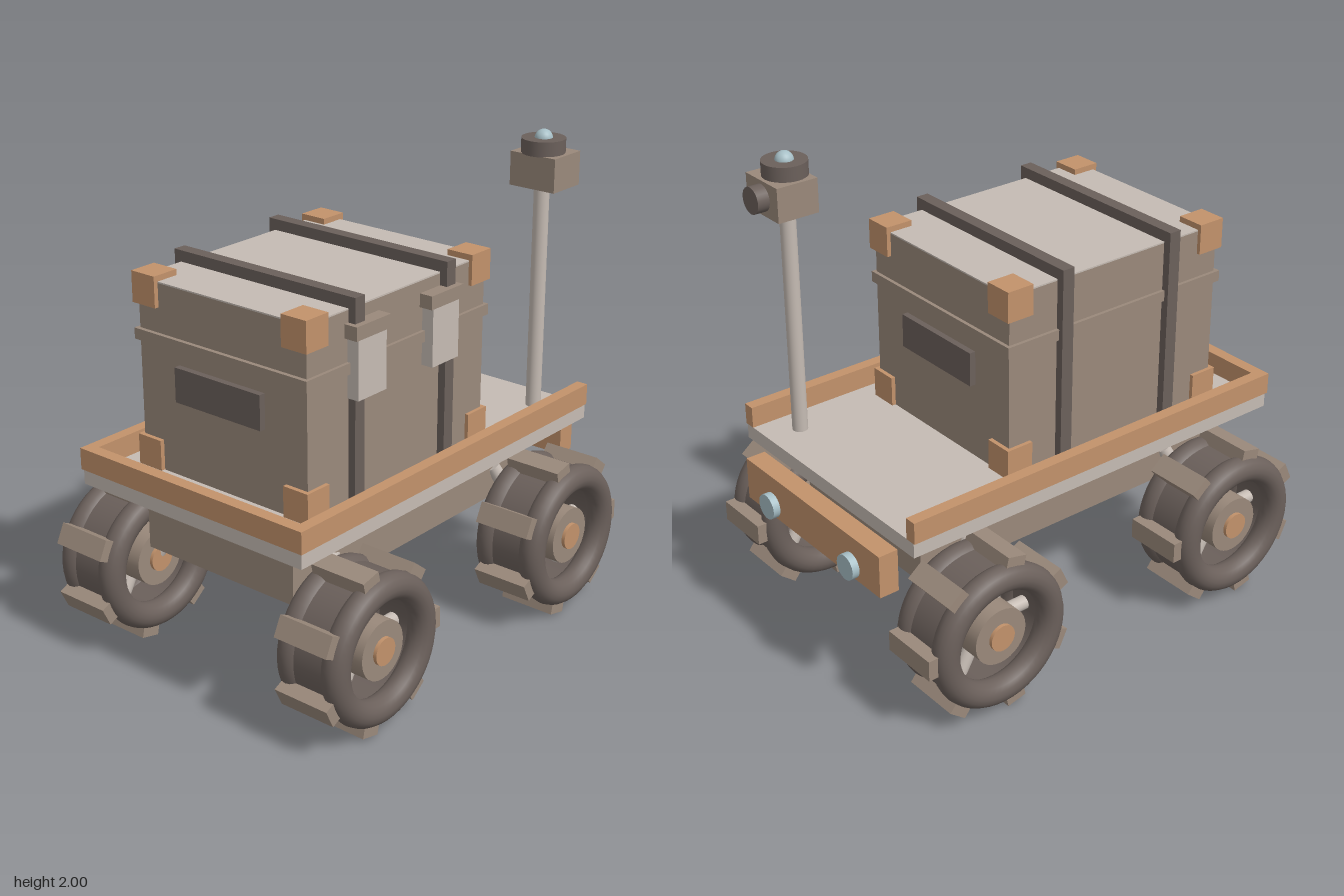
import * as THREE from 'three';

const mat = (name, color) => {
  const m = new THREE.MeshStandardMaterial({ color });
  m.name = name;
  return m;
};

export function createModel() {
  const brown = mat('brown', 0x9a897b), dark = mat('dark brown', 0x6b605b);
  const light = mat('pale grey', 0xc5bbb3), orange = mat('orange', 0xc2926b);
  const blue = mat('pale blue', 0xa7bfc6);
  const tyreMat = mat('tyre', 0x6b605b);
  tyreMat.side = THREE.DoubleSide;

  const model = new THREE.Group();
  model.name = 'cargoRover';

  const add = (parent, name, geo, m, x = 0, y = 0, z = 0) => {
    const mesh = new THREE.Mesh(geo, m);
    mesh.name = name;
    mesh.position.set(x, y, z);
    parent.add(mesh);
    return mesh;
  };
  // Box given by its limits on each axis
  const box = (parent, name, m, x0, x1, y0, y1, z0, z1) =>
    add(parent, name, new THREE.BoxGeometry(x1 - x0, y1 - y0, z1 - z0), m,
      (x0 + x1) / 2, (y0 + y1) / 2, (z0 + z1) / 2);
  // Cylinder between two points
  const rod = (parent, name, m, a, b, r, seg = 28) => {
    const p = new THREE.Vector3(...a), q = new THREE.Vector3(...b);
    const d = q.clone().sub(p);
    const mesh = add(parent, name, new THREE.CylinderGeometry(r, r, d.length(), seg), m);
    mesh.position.copy(p).add(q).multiplyScalar(0.5);
    mesh.quaternion.setFromUnitVectors(new THREE.Vector3(0, 1, 0), d.normalize());
    return mesh;
  };

  // Chassis, deck and rails
  box(model, 'chassis', brown, -0.79, 0.705, 0.47, 0.73, -0.38, 0.38);
  box(model, 'deck', light, -0.95, 0.867, 0.747, 0.81, -0.565, 0.565);
  for (const s of [-1, 1]) {
    add(model, 'sideRail', new THREE.BoxGeometry(1.825, 0.09, 0.05), orange, -0.0445, 0.855, s * 0.547);
  }
  box(model, 'rearRail', orange, -0.957, -0.905, 0.81, 0.9, -0.522, 0.522);

  // Bumper with headlights
  box(model, 'bumper', orange, 0.862, 0.947, 0.546, 0.727, -0.455, 0.455);
  for (const z of [-0.272, 0.272]) rod(model, 'headlight', blue, [0.93, 0.6, z], [0.978, 0.6, z], 0.053);

  // Cargo chest
  const chest = new THREE.Group();
  chest.name = 'chest';
  model.add(chest);
  box(chest, 'chestBody', brown, -0.75, 0.307, 0.81, 1.576, -0.422, 0.422);
  box(chest, 'lidTop', light, -0.75, 0.307, 1.576, 1.582, -0.422, 0.422);
  box(chest, 'lidBand', brown, -0.768, 0.322, 1.332, 1.377, -0.436, 0.436);
  for (const x of [-0.494, 0.049]) {
    box(chest, 'strap', dark, x - 0.027, x + 0.027, 0.812, 1.628, -0.455, 0.455);
  }
  for (const x of [-0.445, -0.004]) {
    box(chest, 'latchPlate', light, x - 0.081, x + 0.081, 1.235, 1.48, 0.42, 0.474);
    box(chest, 'latchHinge', brown, x - 0.098, x + 0.098, 1.473, 1.528, 0.42, 0.48);
  }
  for (const sx of [-1, 1]) {
    const cx = -0.222;
    add(chest, 'handle', new THREE.BoxGeometry(0.05, 0.142, 0.434), dark, cx + sx * 0.53, 1.2, 0);
    for (const sz of [-1, 1]) for (const y of [0.874, 1.543]) {
      add(chest, 'cornerGuard', new THREE.BoxGeometry(0.12, 0.126, 0.12), orange, cx + sx * 0.487, y, sz * 0.378);
    }
  }

  // Sensor mast
  const mast = new THREE.Group();
  mast.name = 'sensorMast';
  mast.position.set(0.722, 0, 0.4);
  model.add(mast);
  rod(mast, 'mastPole', light, [0, 0.8, 0], [0, 1.78, 0], 0.032);
  box(mast, 'sensorHead', brown, -0.074, 0.106, 1.767, 1.907, -0.107, 0.107);
  rod(mast, 'sensorDisc', dark, [0, 1.905, 0], [0, 1.966, 0], 0.09);
  add(mast, 'beacon', new THREE.SphereGeometry(0.037, 24, 16), blue, 0, 1.963, 0);
  rod(mast, 'cameraLens', dark, [0.1, 1.839, 0], [0.157, 1.839, 0], 0.054);

  // Wheels with spokes, treads and struts
  const R = 0.344;
  for (const [wx, lean] of [[-0.661, -1], [0.575, 1]]) for (const s of [-1, 1]) {
    const wheel = new THREE.Group();
    wheel.name = 'wheel';
    wheel.position.set(wx, R, s * 0.585);
    model.add(wheel);
    for (const z of [-0.106, 0.106]) {
      add(wheel, 'tyreBead', new THREE.TorusGeometry(0.251, 0.055, 16, 48), tyreMat, 0, 0, z);
    }
    for (const [name, r] of [['tyreTread', 0.288], ['tyreInside', 0.212]]) {
      add(wheel, name, new THREE.CylinderGeometry(r, r, 0.212, 48, 1, true), tyreMat).rotation.x = Math.PI / 2;
    }
    for (let i = 0; i < 7; i++) {
      const a = i * Math.PI * 2 / 7;
      add(wheel, 'treadBlock', new THREE.BoxGeometry(0.06, 0.087, 0.25), brown,
        Math.cos(a) * 0.312, Math.sin(a) * 0.312, 0).rotation.z = a;
    }
    for (let i = 0; i < 6; i++) {
      const c = Math.cos(i * Math.PI / 3), n = Math.sin(i * Math.PI / 3);
      rod(wheel, 'spoke', light, [c * 0.08, n * 0.08, 0], [c * 0.22, n * 0.22, 0], 0.029, 16);
    }
    rod(wheel, 'hub', brown, [0, 0, -0.12], [0, 0, 0.12], 0.12, 32);
    rod(wheel, 'hubCap', orange, [0, 0, -0.135], [0, 0, 0.135], 0.056, 24);
    rod(model, 'strut', light, [wx - lean * 0.1, 0.6, s * 0.375], [wx, R, s * 0.485], 0.03, 16);
  }
  return model;
}
